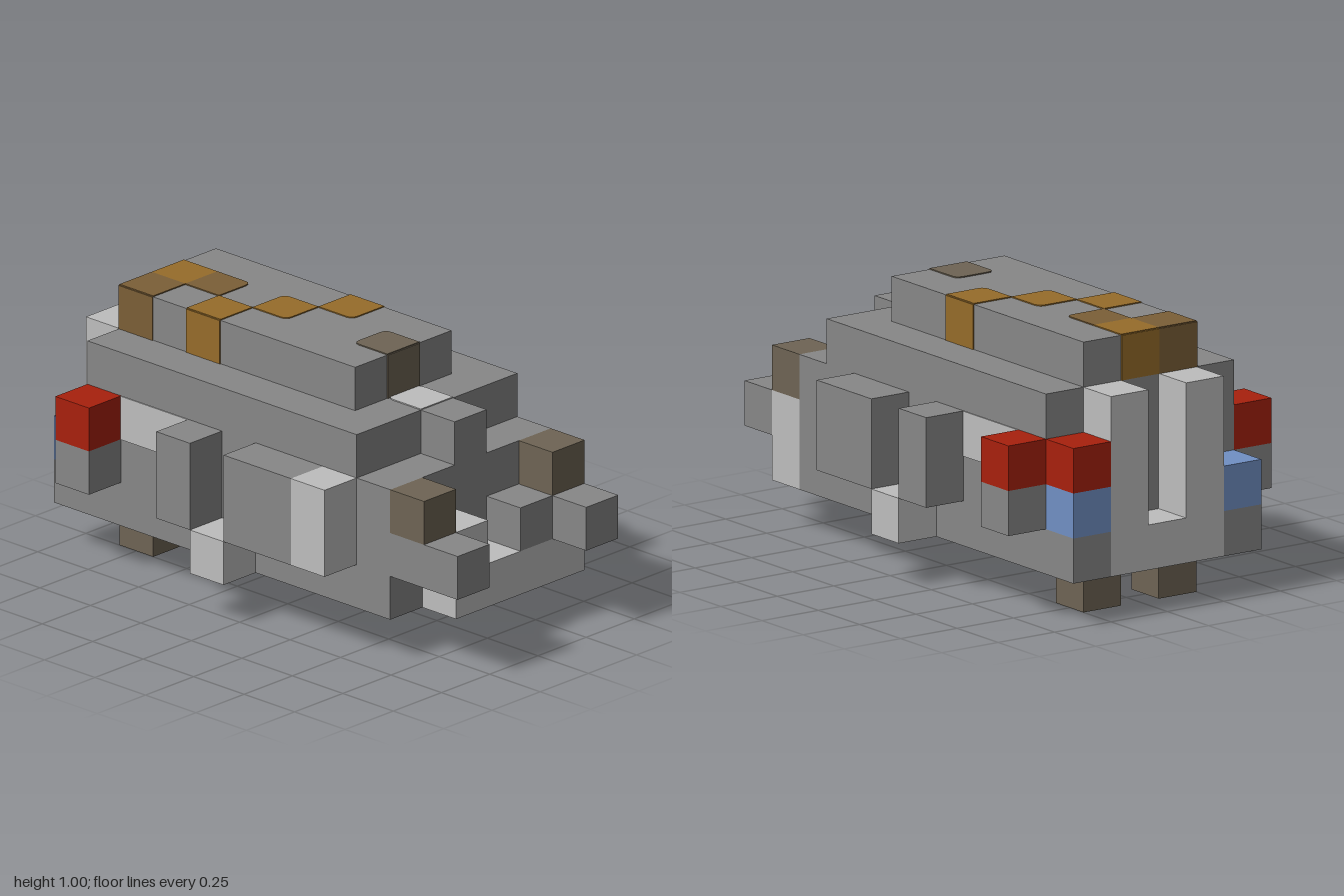
import * as THREE from 'three';

const U = 1 / 6; // one block
const T = 0.025; // paint thickness in blocks

const mat = (name, color) => {
  const m = new THREE.MeshStandardMaterial({ color });
  m.name = name;
  return m;
};

export function createModel() {
  const group = new THREE.Group();
  const grey = mat('grey', 0x878787);
  const light = mat('lightGrey', 0xbebebe);
  const taupe = mat('taupe', 0x6e6454);
  const ochre = mat('ochre', 0x966c2a);
  const brown = mat('brown', 0x7b5f37);
  const red = mat('red', 0xa8200d);
  const blue = mat('blue', 0x7190c4);
  const navy = mat('navy', 0x40404f);

  const add = (name, geo, m) => {
    geo.scale(U, U, U);
    const mesh = new THREE.Mesh(geo, m);
    mesh.name = name;
    group.add(mesh);
  };
  // box from min corner to max corner, in blocks
  const box = (name, m, x0, x1, y0, y1, z0, z1) => {
    const g = new THREE.BoxGeometry(x1 - x0, y1 - y0, z1 - z0);
    g.translate((x0 + x1) / 2, (y0 + y1) / 2, (z0 + z1) / 2);
    add(name, g, m);
  };
  // run of blocks: x is a block centre, y and z are lower bounds
  const block = (name, m, x, y, z, h = 1, d = 1) =>
    box(name, m, x - 0.5, x + 0.5, y, y + h, z, z + d);

  // floor layer with two open pits underneath
  const floor = new THREE.Shape([[-2.5, -4], [2.5, -4], [2.5, 5], [-2.5, 5]].map(p => new THREE.Vector2(...p)));
  for (const [x, z] of [[0, -2], [-1, -3]]) {
    const pit = new THREE.Path();
    pit.moveTo(x - 0.49, -z - 0.99).lineTo(x - 0.49, -z - 0.01).lineTo(x + 0.49, -z - 0.01).lineTo(x + 0.49, -z - 0.99);
    floor.holes.push(pit);
  }
  const floorGeo = new THREE.ExtrudeGeometry(floor, { depth: 1, bevelEnabled: false });
  floorGeo.rotateX(-Math.PI / 2).translate(0, 1, 0);
  add('floor', floorGeo, grey);

  // stepped body
  box('body', grey, -2.5, 2.5, 2, 4, -5, 4);
  box('upperBody', grey, -2.5, 2.5, 4, 5, -5, 3);
  box('roof', grey, -1.5, 1.5, 5, 6, -5, 2);
  block('noseRidge', grey, 0, 4, 3);

  // front bumper and lamps
  box('frontBumper', light, -1.5, 2.5, 1, 2, 4, 5);
  block('bumperPost', light, -1, 2, 4);
  block('bumperPost', light, 2, 2, 4);
  block('bumperPost', grey, 1, 2, 4);
  block('bumperPost', grey, -2, 2, 4);
  for (const s of [-1, 1]) {
    block('frontLamp', taupe, 2 * s, 3, 4);
    block('frontHorn', grey, 2 * s, 2, 5);

    // side fittings
    block('sidePanel', grey, 3 * s, 2, 0, 2, 2);
    block('sidePanel', grey, 3 * s, 2, -2, 2);
    block('sideStep', light, 3 * s, 1, -1);
    block('rearPod', grey, 3 * s, 2, -5);
    block('rearPodLight', red, 3 * s, 3, -5);
    box('sideWindow', light, 2.5 * s - T, 2.5 * s + T, 3, 4, -4, -2);

    // rear end and legs
    block('rearPillar', light, s, 1, -6, 4);
    block('rearCorner', grey, 2 * s, 1, -6);
    block('rearBlueLight', blue, 2 * s, 2, -6);
    block('rearLeg', taupe, s, 0, -5);
  }
  block('sidePanel', light, -3, 2, 2, 2);
  block('rearSill', light, 0, 1, -6);
  block('rearRedLight', red, 2, 3, -6);

  // painted patch lying on a horizontal face; chosen corners are rounded
  const patch = (name, m, x0, x1, z0, z1, y, round) => {
    const r = 0.17;
    const s = new THREE.Shape();
    const pts = [[x0, -z0], [x1, -z0], [x1, -z1], [x0, -z1]];
    pts.forEach(([x, v], i) => {
      const [px, pv] = pts[(i + 3) % 4], [nx, nv] = pts[(i + 1) % 4];
      const k = round[i] ? r : 0;
      const ax = x + Math.sign(px - x) * k, av = v + Math.sign(pv - v) * k;
      if (i) s.lineTo(ax, av); else s.moveTo(ax, av);
      if (k) s.quadraticCurveTo(x, v, x + Math.sign(nx - x) * k, v + Math.sign(nv - v) * k);
    });
    const g = new THREE.ExtrudeGeometry(s, { depth: 2 * T, bevelEnabled: false, curveSegments: 3 });
    g.rotateX(-Math.PI / 2).translate(0, y - T, 0);
    add(name, g, m);
  };

  // rust trail on the roof, wrapping over the roof edges
  const rust = [
    [-1, -5, brown], [0, -5, ochre], [0, -4, brown], [-1, -3, ochre],
    [0, -2, ochre], [1, -1, ochre], [0, 1, taupe],
  ];
  const filled = (x, z) => Math.abs(x) > 1 || z < -5 || z > 1 || rust.some(p => p[0] === x && p[1] === z);
  for (const [x, z, m] of rust) {
    const round = [[-1, -1], [1, -1], [1, 1], [-1, 1]].map(([i, j]) =>
      !filled(x + i, z) && !filled(x, z + j) && !filled(x + i, z + j));
    patch('roofRust', m, x - 0.5, x + 0.5, z, z + 1, 6, round);
    if (x) box('roofRustSide', m, 1.5 * x - T, 1.5 * x + T, 5, 6, z, z + 1);
    if (z === -5 || z === 1) {
      const e = z < 0 ? -5 : 2;
      box('roofRustEnd', m, x - 0.5, x + 0.5, 5, 6, e - T, e + T);
    }
  }

  // other painted patches
  patch('noseMark', light, -0.5, 0.5, 2, 3, 5, [1, 1, 0, 0]);
  patch('bellyMark', navy, -0.5, 1.5, 1, 2, 1, [1, 1, 1, 1]);
  patch('bellyMark', navy, -0.5, 0.5, -5, -4, 1, [0, 0, 1, 1]);

  return group;
}
